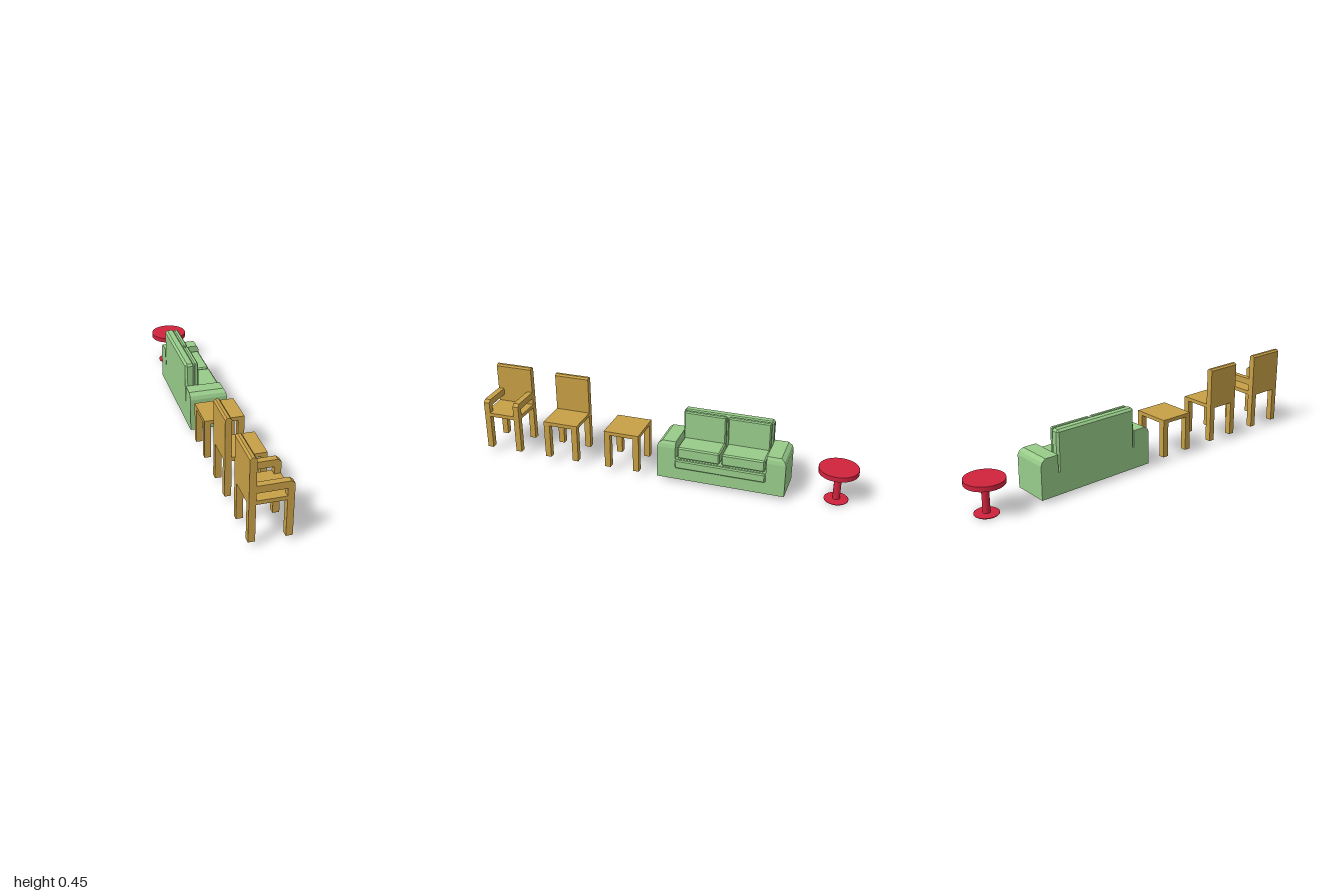
import * as THREE from 'three';
import { ConvexGeometry } from 'three/addons/geometries/ConvexGeometry.js';

const material = (name, color) => {
  const m = new THREE.MeshStandardMaterial({ color });
  m.name = name;
  return m;
};

export function createModel() {
  const wood = material('wood', 0xc8a046);
  const fabric = material('green fabric', 0x98cc8a);
  const red = material('red lacquer', 0xcf233c);
  const model = new THREE.Group();
  model.name = 'furnitureRow';

  const group = (name) => {
    const g = new THREE.Group();
    g.name = name;
    model.add(g);
    return g;
  };
  const add = (parent, name, geometry, mat) => {
    const mesh = new THREE.Mesh(geometry, mat);
    mesh.name = name;
    parent.add(mesh);
    return mesh;
  };
  // Box given by its extents
  const box = (x0, x1, y0, y1, z0, z1) =>
    new THREE.BoxGeometry(x1 - x0, y1 - y0, z1 - z0)
      .translate((x0 + x1) / 2, (y0 + y1) / 2, (z0 + z1) / 2);
  // Box with all edges chamfered by c
  const softBox = (x0, x1, y0, y1, z0, z1, c) => {
    const points = [];
    for (const [x, sx] of [[x0, 1], [x1, -1]])
      for (const [y, sy] of [[y0, 1], [y1, -1]])
        for (const [z, sz] of [[z0, 1], [z1, -1]])
          points.push(
            new THREE.Vector3(x, y + sy * c, z + sz * c),
            new THREE.Vector3(x + sx * c, y, z + sz * c),
            new THREE.Vector3(x + sx * c, y + sy * c, z));
    return new ConvexGeometry(points);
  };
  // Profile in x-y, extruded from z0 to z1
  const slab = (pts, z0, z1) =>
    new THREE.ExtrudeGeometry(new THREE.Shape(pts.map(p => new THREE.Vector2(...p))),
      { depth: z1 - z0, bevelEnabled: false }).translate(0, 0, z0);

  // Wooden seats: stool, chair and armchair share legs and seat
  const X0 = -0.107, X1 = 0.096, LEG = 0.032, FLOOR = 0.027, SEAT = 0.215, TOP = 0.235;
  const seatUnit = (name, z0, z1, backTop, arms) => {
    const g = group(name);
    const inner = X0 + LEG;
    add(g, 'seat', box(backTop ? inner : X0, arms ? X1 - LEG : X1, SEAT, TOP, z0, z1), wood);
    for (const z of [z0, z1 - LEG]) {
      add(g, 'backLeg', box(X0, inner, FLOOR, SEAT, z, z + LEG), wood);
      if (!arms) {
        add(g, 'frontLeg', box(X1 - LEG, X1, FLOOR, SEAT, z, z + LEG), wood);
        continue;
      }
      // Front leg and armrest in one bent piece
      add(g, 'armrest', slab([[X1 - LEG, FLOOR], [X1, FLOOR], [X1, 0.294], [0.079, 0.308],
        [inner, 0.308], [inner, 0.272], [X1 - LEG, 0.272]], z, z + LEG), wood);
    }
    if (arms) // front edge of the seat between the posts
      add(g, 'seatFront', box(X1 - LEG, X1, SEAT, TOP, z0 + LEG, z1 - LEG), wood);
    if (backTop) {
      const c = 0.009;
      add(g, 'backrest', slab([[X0, SEAT], [inner, SEAT], [inner, backTop - c],
        [inner - c, backTop], [X0 + c, backTop], [X0, backTop - c]], z0, z1), wood);
    }
  };
  seatUnit('stool', 0.115, 0.305, 0, false);
  seatUnit('chair', 0.46, 0.65, 0.439, false);
  seatUnit('armchair', 0.796, 1.0, 0.449, true);

  // Two-seat sofa, mirrored about its middle
  const sofa = group('sofa');
  const MID = -0.32, HALF = 0.334, IN = 0.236, BACK = -0.103, FRONT = 0.093;
  add(sofa, 'base', box(BACK, FRONT, 0.022, 0.14, MID - IN, MID + IN), fabric);
  add(sofa, 'frontRail', softBox(0.05, 0.105, 0.09, 0.138, MID - IN, MID + IN, 0.006), fabric);
  add(sofa, 'backrest', softBox(BACK, -0.053, 0.1, 0.353, MID - IN, MID + IN, 0.011), fabric);
  for (const s of [-1, 1]) {
    // Arm: rounded off at the outer top and the front
    const points = [];
    for (const [y, outer, front] of [[0.022, 0, 0], [0.197, 0, 0], [0.216, 0.007, 0.004], [0.231, 0.026, 0.012]])
      for (const x of [BACK, FRONT - front])
        for (const d of [IN, HALF - outer]) points.push(new THREE.Vector3(x, y, MID + s * d));
    add(sofa, 'arm', new ConvexGeometry(points), fabric);
    const a = MID + s * 0.005, b = MID + s * 0.228;
    const z0 = Math.min(a, b), z1 = Math.max(a, b);
    add(sofa, 'seatCushion', softBox(-0.055, 0.088, 0.14, 0.203, z0, z1, 0.007), fabric);
    add(sofa, 'backCushion', softBox(-0.056, -0.031, 0.195, 0.351, z0, z1, 0.006), fabric);
  }

  // Round pedestal table
  const table = group('table');
  table.position.set(-0.006, 0, -0.9);
  const disc = (name, r, y0, y1, sides) =>
    add(table, name, new THREE.CylinderGeometry(r, r, y1 - y0, sides).translate(0, (y0 + y1) / 2, 0), red);
  disc('tableTop', 0.1, 0.158, 0.183, 48);
  disc('stem', 0.0185, 0.008, 0.16, 32);
  const foot = [[0, 0], [0.057, 0], [0.061, 0.003], [0.061, 0.006], [0.057, 0.009], [0, 0.009]];
  add(table, 'foot', new THREE.LatheGeometry(foot.map(p => new THREE.Vector2(...p)), 48), red);

  return model;
}
